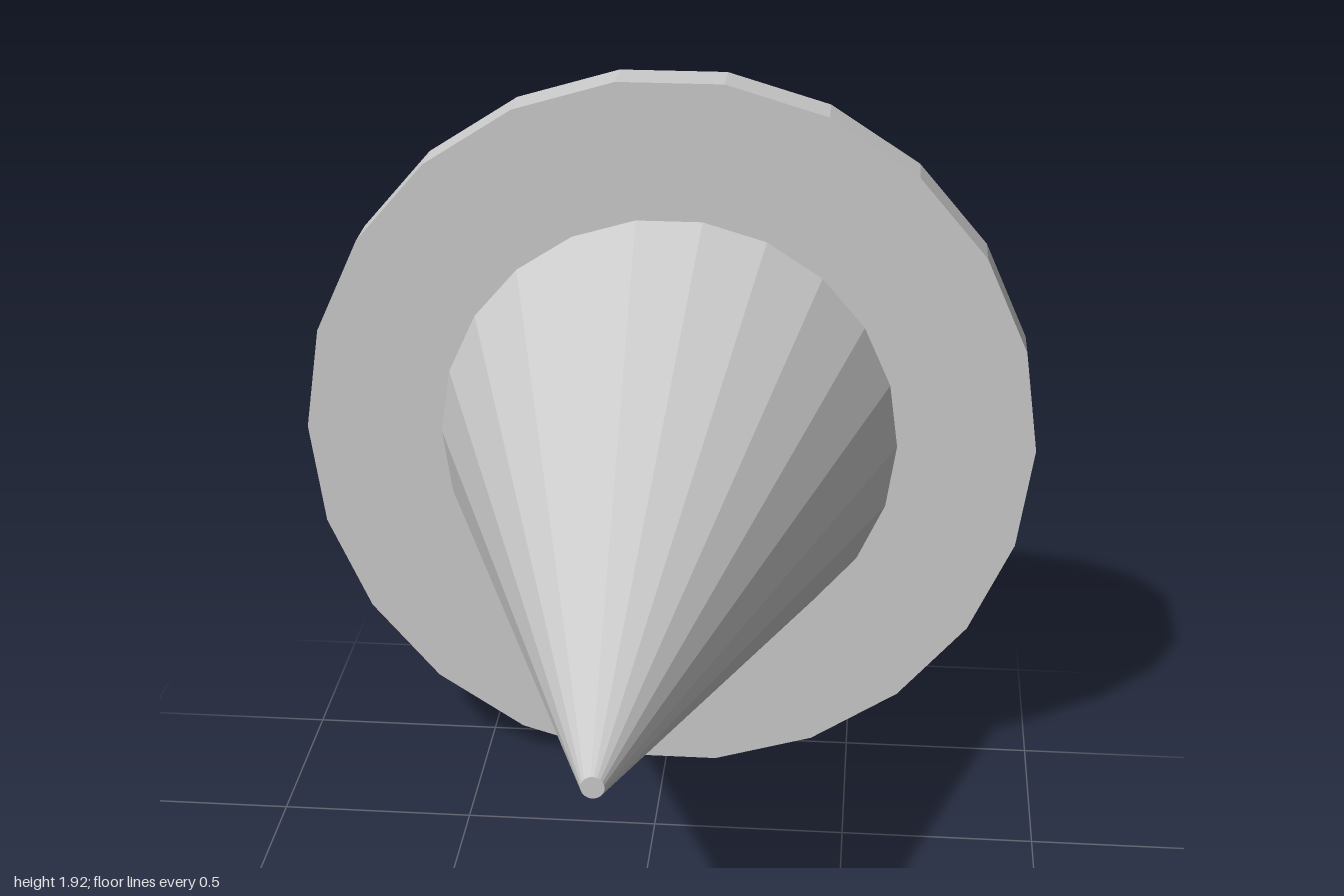
import * as THREE from 'three';

const SIDES = 22;
const PLATE_RADIUS = 0.968;
const CENTER_Y = PLATE_RADIUS * Math.cos(Math.PI / SIDES); // plate rests on a flat edge

// Faceted round part lying along z, from zBack to zFront
function roundPart(name, frontRadius, backRadius, zBack, zFront, open = false) {
  const geometry = new THREE.CylinderGeometry(
    frontRadius, backRadius, zFront - zBack, SIDES, 1, false, Math.PI / 2, Math.PI * 2);
  geometry.rotateX(Math.PI / 2);
  const material = new THREE.MeshStandardMaterial({ color: 0xcccccc, flatShading: true });
  const mesh = new THREE.Mesh(geometry, material);
  mesh.name = name;
  mesh.position.set(0, CENTER_Y, (zBack + zFront) / 2);
  return mesh;
}

export function createModel() {
  const group = new THREE.Group();
  group.name = 'spikeOnPlate';

  // Flat disc at the back
  group.add(roundPart('backPlate', PLATE_RADIUS, PLATE_RADIUS, -1, -0.877));

  // Long spike with a small blunt tip
  group.add(roundPart('spike', 0.025, 0.605, -0.877, 1));

  return group;
}
